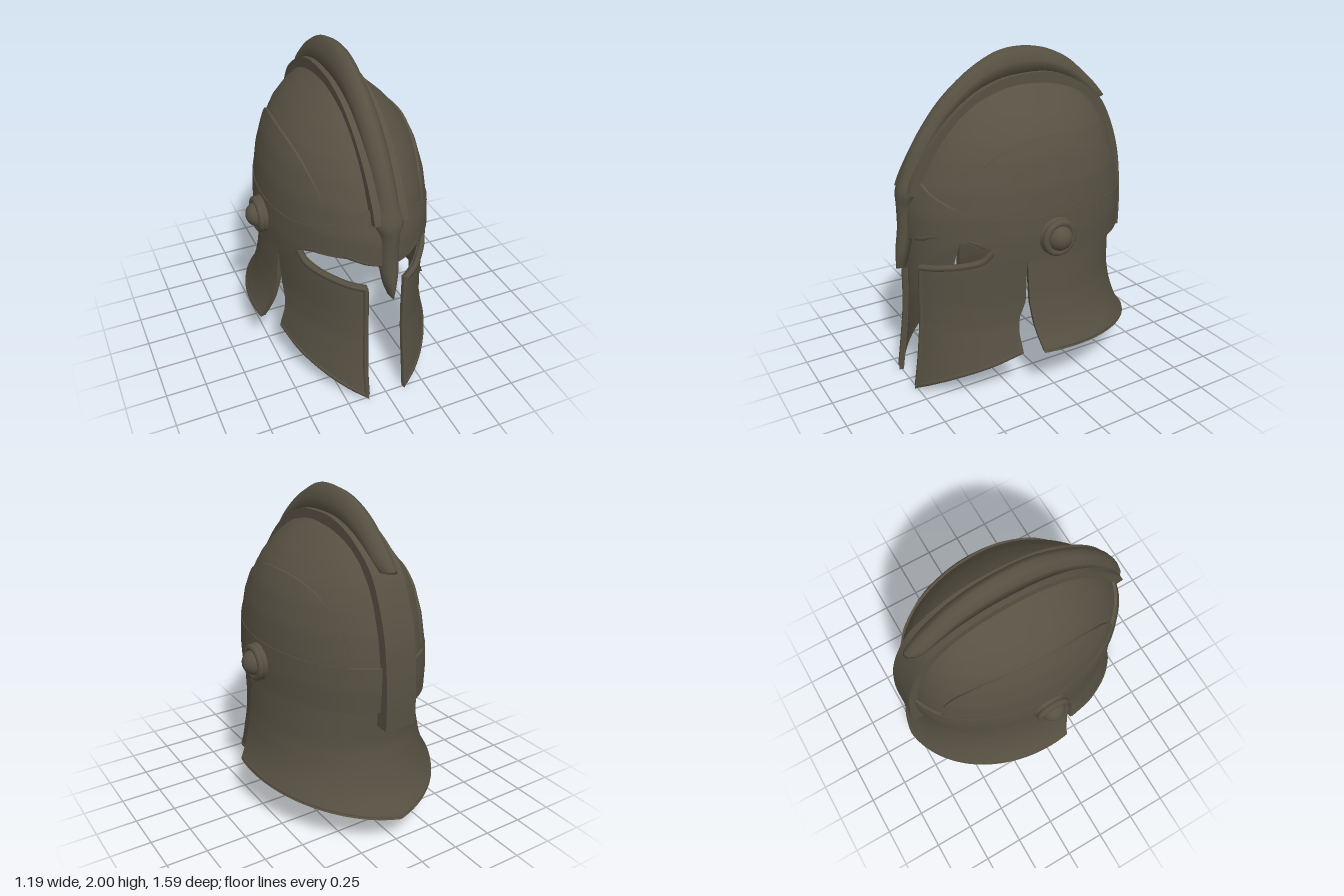
import * as THREE from 'three';
import { mergeGeometries } from 'three/addons/utils/BufferGeometryUtils.js';
import { ParametricGeometry } from 'three/addons/geometries/ParametricGeometry.js';

const PI = Math.PI;

// Linear lookup in a table of [key, value, ...] rows with rising keys
function look(rows, k, c = 1) {
  if (k <= rows[0][0]) return rows[0][c];
  for (let i = 1; i < rows.length; i++) {
    const p = rows[i - 1], q = rows[i];
    if (k <= q[0]) return p[c] + (q[c] - p[c]) * (k - p[0]) / (q[0] - p[0]);
  }
  return rows[rows.length - 1][c];
}

// Horizontal sections: [height, half width, front depth, back depth]
const SKULL = [
  [0.85, 0.48, 0.70, 0.69], [1.0, 0.48, 0.72, 0.70], [1.15, 0.47, 0.715, 0.695],
  [1.3, 0.45, 0.675, 0.67], [1.45, 0.41, 0.6, 0.625], [1.55, 0.365, 0.53, 0.58],
  [1.65, 0.288, 0.44, 0.51], [1.73, 0.2, 0.34, 0.42], [1.79, 0.115, 0.21, 0.3],
  [1.82, 0.06, 0.1, 0.17], [1.838, 0.01, 0.01, 0.01],
];
const CHEEK = [
  [0, 0.56, 0.79, 0.7], [0.28, 0.505, 0.755, 0.7], [0.45, 0.472, 0.74, 0.7],
  [0.6, 0.465, 0.735, 0.7], [0.8, 0.475, 0.73, 0.7], [1.0, 0.484, 0.71, 0.7],
];
const NECK = [
  [0.17, 0.64, 0.7, 0.795], [0.3, 0.59, 0.7, 0.715], [0.38, 0.55, 0.7, 0.685], [0.47, 0.52, 0.7, 0.66],
  [0.6, 0.495, 0.7, 0.637], [0.8, 0.475, 0.7, 0.645], [0.95, 0.465, 0.7, 0.65],
];

// Point on a section table at angle a (0 = front, PI = back), pushed out by off;
// the front half tapers slightly to a point
function onShell(table, a, y, off, target = new THREE.Vector3()) {
  const c = Math.cos(a);
  const w = Math.max(0.002, look(table, y, 1) + off);
  const d = Math.max(0.002, look(table, y, c > 0 ? 2 : 3) + off);
  const taper = c > 0 ? 1 - 0.08 * c * c : 1;
  return target.set(w * taper * Math.sin(a), y, d * c);
}

// Closed curved plate; at(u, v) gives [angle, height]
function plate(table, at, out, inn, nu, nv, side = 1) {
  const f = (u, v, off, t) => {
    const [a, y] = at(side > 0 ? u : 1 - u, v);
    onShell(table, a * side, y, off, t);
  };
  const mix = (k) => inn + (out - inn) * k;
  const faces = [
    [(u, v, t) => f(u, v, out, t), nu, nv],
    [(u, v, t) => f(1 - u, v, inn, t), nu, nv],
    [(u, v, t) => f(u, 0, mix(v), t), nu, 1],
    [(u, v, t) => f(u, 1, mix(1 - v), t), nu, 1],
    [(u, v, t) => f(0, v, mix(u), t), 1, nv],
    [(u, v, t) => f(1, v, mix(1 - u), t), 1, nv],
  ].map(([fn, a, b]) => new ParametricGeometry(fn, a, b));
  const g = mergeGeometries(faces);
  g.computeVertexNormals();
  return g;
}

// Raised bead following [angle, height] points
function bead(table, pts, off, r, side = 1) {
  const curve = new THREE.CatmullRomCurve3(pts.map(([a, y]) => onShell(table, a * side, y, off)));
  return new THREE.TubeGeometry(curve, 48, r, 6);
}

// Crest and nose guard lofted smoothly along [baseZ, baseY, topZ, topY, halfWidth]
function loft(rows, steps) {
  const section = [[1, 0], [0.85, 0.5], [0.5, 0.88], [0, 1], [-0.5, 0.88], [-0.85, 0.5], [-1, 0]];
  const n = section.length, pos = [], idx = [];
  const spline = (pts) => new THREE.CatmullRomCurve3(pts, false, 'catmullrom');
  const base = spline(rows.map(([z, y, , , w]) => new THREE.Vector3(w, y, z)));
  const top = spline(rows.map(([, , z, y]) => new THREE.Vector3(0, y, z)));
  for (let i = 0; i <= steps; i++) {
    const b = base.getPoint(i / steps), t = top.getPoint(i / steps);
    for (const [sx, k] of section) pos.push(sx * b.x, b.y + (t.y - b.y) * k, b.z + (t.z - b.z) * k);
  }
  for (let i = 0; i < steps; i++)
    for (let j = 0; j < n; j++) {
      const a = i * n + j, b = i * n + (j + 1) % n;
      idx.push(a, a + n, b, b, a + n, b + n);
    }
  const last = steps * n;
  for (let j = 1; j < n - 1; j++) idx.push(0, j, j + 1, last, last + j + 1, last + j);
  const g = new THREE.BufferGeometry();
  g.setAttribute('position', new THREE.Float32BufferAttribute(pos, 3));
  g.setIndex(idx);
  g.computeVertexNormals();
  return g;
}

export function createModel() {
  const model = new THREE.Group();
  const bronze = new THREE.MeshStandardMaterial({ color: 0x575143, side: THREE.DoubleSide });
  bronze.name = 'dark bronze';
  const add = (name, geometry, parent = model) => {
    const m = new THREE.Mesh(geometry, bronze);
    m.name = name;
    parent.add(m);
    return m;
  };

  // Skull cap with the eye arches cut into its lower edge
  const lowEdge = [[0, 0.98], [0.25, 0.99], [0.5, 1.025], [0.85, 1.005], [1.0, 0.975], [1.08, 0.9], [1.3, 0.87], [PI, 0.855]];
  const low = (a) => look(lowEdge, Math.abs(a));
  const around = (u) => PI * (2 * u - 1);
  add('skullCap', plate(SKULL, (u, v) => {
    const a = around(u), l = low(a);
    return [a, l + (1.838 - l) * Math.sin(v * PI / 2)];
  }, 0, -0.04, 112, 32));

  // Raised brow band running round to the back
  const topEdge = [[0, 1.36], [0.2, 1.33], [0.5, 1.25], [0.8, 1.18], [1.1, 1.14], [PI, 1.125]];
  add('browBand', plate(SKULL, (u, v) => {
    const a = around(u), l = low(a);
    return [a, l + (look(topEdge, Math.abs(a)) - l) * v];
  }, 0.018, -0.02, 112, 8));

  // Ridge band over the head from brow to nape
  const ridge = [
    [0.735, 1.26], [0.7, 1.34], [0.63, 1.46], [0.545, 1.57], [0.435, 1.68], [0.3, 1.775], [0.15, 1.835], [0, 1.855],
    [-0.18, 1.85], [-0.34, 1.8], [-0.48, 1.715], [-0.58, 1.62], [-0.66, 1.46], [-0.71, 1.3], [-0.735, 1.15],
    [-0.75, 0.95], [-0.75, 0.76],
  ].map(([z, y]) => new THREE.Vector2(z, y));
  const outer = new THREE.SplineCurve(ridge).getPoints(64);
  const inner = outer.map((p, i) => {
    const q = outer[Math.min(i + 1, 64)].clone().sub(outer[Math.max(i - 1, 0)]).normalize();
    return new THREE.Vector2(p.x - q.y * 0.085, p.y + q.x * 0.085);
  });
  const band = new THREE.ExtrudeGeometry(new THREE.Shape([...outer, ...inner.reverse()]), { depth: 0.2, bevelEnabled: false });
  add('ridgeBand', band.rotateY(-PI / 2).translate(0.1, 0, 0));

  // Crest blade flowing down into the nose guard
  add('crestAndNoseGuard', loft([
    [0.735, 0.78, 0.795, 0.78, 0.012], [0.725, 0.88, 0.79, 0.89, 0.045], [0.70, 1.02, 0.77, 1.03, 0.06],
    [0.69, 1.16, 0.77, 1.16, 0.062], [0.69, 1.25, 0.765, 1.25, 0.088], [0.66, 1.33, 0.735, 1.34, 0.07],
    [0.59, 1.45, 0.675, 1.475, 0.068], [0.51, 1.57, 0.58, 1.62, 0.068], [0.41, 1.68, 0.46, 1.76, 0.068],
    [0.25, 1.79, 0.3, 1.89, 0.068], [0.12, 1.83, 0.14, 1.975, 0.07], [0, 1.845, -0.02, 2.0, 0.07],
    [-0.18, 1.84, -0.2, 1.975, 0.07], [-0.33, 1.79, -0.37, 1.9, 0.068], [-0.45, 1.715, -0.5, 1.795, 0.066],
    [-0.52, 1.65, -0.59, 1.71, 0.062], [-0.56, 1.625, -0.655, 1.635, 0.045],
  ], 96));

  // Neck guard flaring out at the back
  const neckLow = (a) => 0.3 - 0.13 * Math.pow(Math.max(0, (Math.abs(a - PI) - PI + 1.41) / (1.41 - PI)), 1.5);
  const neckStart = [[0.3, 1.4], [0.45, 1.355], [0.6, 1.33], [0.95, 1.325]];
  add('neckGuard', plate(NECK, (u, v) => {
    const k = 2 * u - 1;
    const base = neckLow(PI + k * (PI - 1.41));
    const y = base + (0.95 - base) * v;
    return [PI + k * (PI - look(neckStart, y)), y];
  }, 0, -0.035, 80, 20));
  const neckRim = [];
  for (let i = 0; i <= 24; i++) {
    const a = 1.42 + (2 * PI - 2.84) * i / 24;
    neckRim.push([a, neckLow(a) + 0.012]);
  }
  add('neckRim', bead(NECK, neckRim, -0.014, 0.018));

  // Paired parts
  const cheekTop = [[0.25, 0.825], [0.5, 0.84], [0.8, 0.87], [0.95, 0.9], [1.03, 0.96], [1.1, 0.98], [1.32, 0.98]];
  const cheekBack = [[0.28, 1.29], [0.4, 1.265], [0.5, 1.27], [0.6, 1.325], [1, 1.325]];
  const cheekFront = [[0, 0.235], [0.4, 0.27], [1, 0.27]];
  for (const side of [1, -1]) {
    const label = side > 0 ? 'left' : 'right';

    add(label + 'CheekGuard', plate(CHEEK, (u, v) => {
      const a = 0.25 + 1.07 * u;
      const lo = 0.275 * Math.pow(u, 0.85), y = lo + (look(cheekTop, a) - lo) * v;
      const f = look(cheekFront, y);
      return [f + (look(cheekBack, y) - f) * u, y];
    }, 0, -0.03, 32, 24, side));

    // Beaded edges of the cheek guard and the eye opening
    add(label + 'CheekFrontRim', bead(CHEEK, [[0.255, 0.03], [0.275, 0.2], [0.29, 0.45], [0.29, 0.65], [0.29, 0.81]], -0.008, 0.017, side));
    add(label + 'CheekBottomRim', bead(CHEEK, [[0.255, 0.025], [0.45, 0.08], [0.7, 0.145], [1, 0.215], [1.27, 0.28]], -0.01, 0.017, side));
    add(label + 'LowerEyeRim', bead(CHEEK, [[0.29, 0.815], [0.5, 0.83], [0.8, 0.86], [0.95, 0.89], [1.04, 0.96]], -0.004, 0.02, side));
    add(label + 'UpperEyeRim', bead(SKULL, [[0.12, 0.99], [0.3, 1.005], [0.5, 1.035], [0.85, 1.015], [1.02, 0.975]], 0.004, 0.016, side));

    // Raised oval field on the side of the skull
    add(label + 'SkullField', plate(SKULL, (u, v) => {
      const k = 2 * u - 1;
      const arch = Math.pow(Math.max(0.002, 1 - Math.pow(Math.abs(k), 2.4)), 1 / 2.2);
      return [1.65 + 0.95 * k, 1.12 + 0.44 * arch * v];
    }, 0.014, -0.02, 64, 12, side));

    // Ear boss: disc, ring and dome
    const boss = new THREE.Group();
    boss.name = label + 'EarBoss';
    add('disc', new THREE.CylinderGeometry(0.1, 0.13, 0.08, 32).rotateZ(-side * PI / 2), boss).position.x = side * 0.49;
    add('ring', new THREE.TorusGeometry(0.09, 0.022, 10, 32).rotateY(PI / 2), boss).position.x = side * 0.522;
    add('dome', new THREE.SphereGeometry(0.078, 24, 16), boss).position.x = side * 0.516;
    boss.position.y = 1;
    model.add(boss);
  }

  return model;
}
